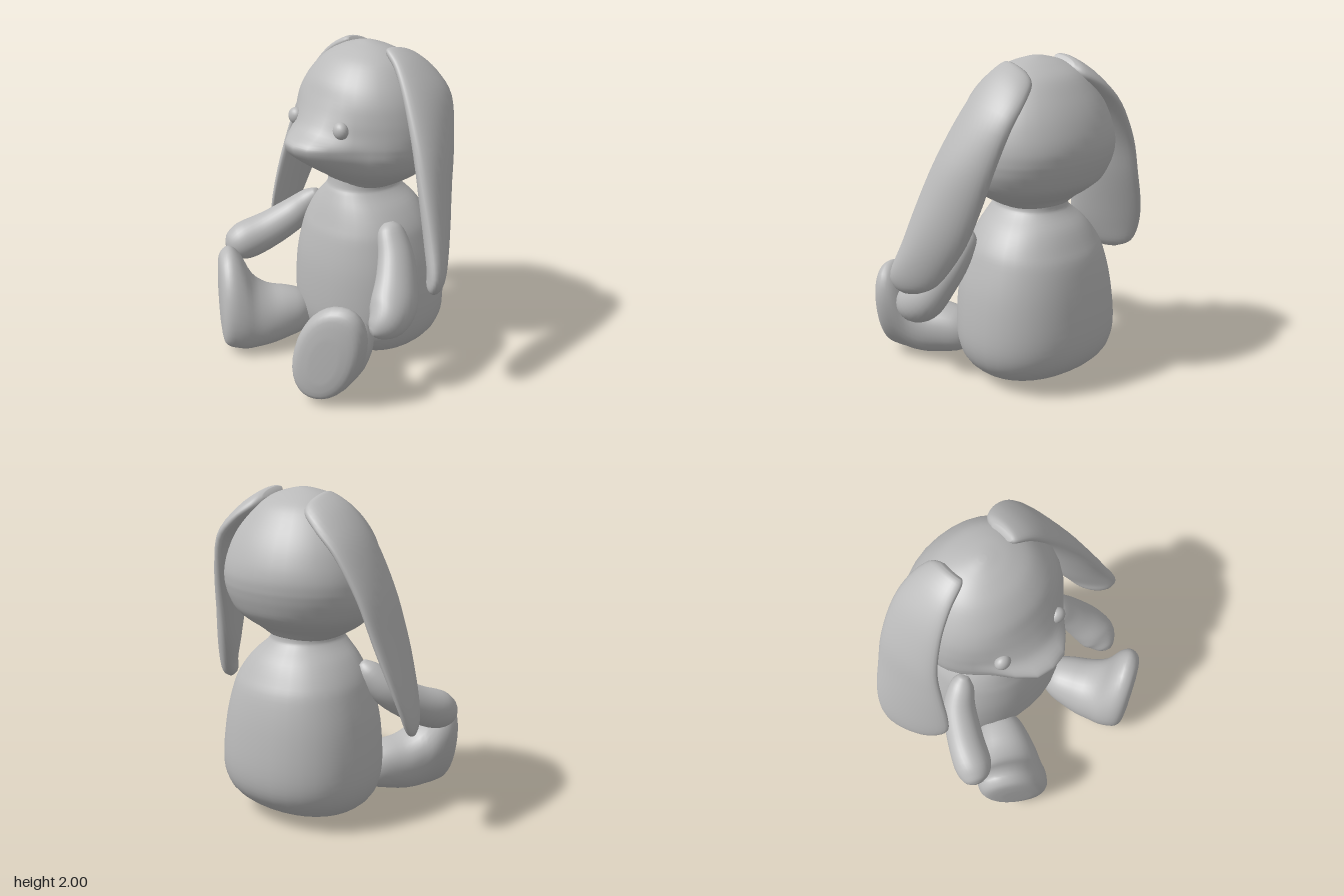
import * as THREE from 'three';

const V = (x, y, z) => new THREE.Vector3(x, y, z);
const SIDES = 32;

// Catmull-Rom interpolation through rows of numbers
function smooth(rows, steps = 4) {
  const out = [];
  const last = rows.length - 1;
  for (let i = 0; i < last; i++) {
    const [a, b, c, d] = [rows[Math.max(i - 1, 0)], rows[i], rows[i + 1], rows[Math.min(i + 2, last)]];
    for (let s = 0; s < steps; s++) {
      const t = s / steps;
      out.push(b.map((p1, k) => p1 + 0.5 * t * (c[k] - a[k]
        + t * (2 * a[k] - 5 * p1 + 4 * c[k] - d[k] + t * (3 * (p1 - c[k]) + d[k] - a[k])))));
    }
  }
  out.push(rows[last]);
  return out;
}

// Closed smooth skin over a list of rings, with a pole at each end
function loft(rings) {
  const pts = rings.flat(), index = [];
  const n = rings[0].length, m = rings.length;
  for (let i = 0; i < m - 1; i++) {
    for (let j = 0; j < n; j++) {
      const a = i * n + j, b = i * n + (j + 1) % n;
      index.push(a, b, a + n, b, b + n, a + n);
    }
  }
  const pole = (ring) => ring.reduce((s, p) => s.add(p), V(0, 0, 0)).divideScalar(n);
  const p0 = pts.push(pole(rings[0])) - 1, p1 = pts.push(pole(rings[m - 1])) - 1;
  for (let j = 0; j < n; j++) {
    const k = (j + 1) % n, e = (m - 1) * n;
    index.push(p0, k, j, p1, e + j, e + k);
  }
  // Turn the faces outward if the enclosed volume is negative
  let volume = 0;
  for (let i = 0; i < index.length; i += 3) {
    const [a, b, c] = [pts[index[i]], pts[index[i + 1]], pts[index[i + 2]]];
    volume += a.dot(b.clone().cross(c));
  }
  if (volume < 0) index.reverse();
  const geo = new THREE.BufferGeometry().setFromPoints(pts);
  geo.setIndex(index);
  geo.computeVertexNormals();
  return geo;
}

// Oval ring: centre, two half axes, and an exponent below 1 for a boxier outline
function oval(c, u, v, power = 1) {
  const f = (x) => Math.sign(x) * Math.abs(x) ** power;
  return Array.from({ length: SIDES }, (_, j) => {
    const a = (j / SIDES) * Math.PI * 2;
    return c.clone().addScaledVector(u, f(Math.cos(a))).addScaledVector(v, f(Math.sin(a)));
  });
}

// Limb along a path; rows are x, y, z, half width, half thickness, width direction x, y, z
function limb(rows) {
  const path = smooth(rows);
  const at = (i) => V(...path[THREE.MathUtils.clamp(i, 0, path.length - 1)].slice(0, 3));
  return loft(path.map((r, i) => {
    const tangent = at(i + 1).sub(at(i - 1)).normalize();
    const w = V(r[5], r[6], r[7]).normalize();
    const t = tangent.clone().cross(w).normalize();
    return oval(at(i), w.multiplyScalar(r[3]), t.multiplyScalar(r[4]));
  }));
}

// Round-section limb; rows are x, y, z, half width, half thickness
function arm(rows) {
  const path = new THREE.CatmullRomCurve3(rows.map((r) => V(...r)));
  return limb(rows.map((r, i) => {
    const t = path.getTangent(i / (rows.length - 1));
    const w = V(1, 0, 0).addScaledVector(t, -t.x).normalize();
    return [...r, ...w.toArray()];
  }));
}

// Leg with a sole that leans outward; rows are distance behind sole, low y, high y, half width, lean
function leg(side) {
  const back = V(0.87, 0, -0.49 * side), across = V(0.49, 0, 0.87 * side);
  const rows = [
    [-0.012, 0.18, 0.46, 0.08, 0.25], [0, 0.08, 0.59, 0.16, 0.25], [0.03, 0.045, 0.64, 0.2, 0.25],
    [0.08, 0.03, 0.655, 0.215, 0.25], [0.14, 0.02, 0.6, 0.21, 0.25], [0.21, 0.02, 0.47, 0.195, 0.2],
    [0.31, 0.03, 0.4, 0.185, 0.15], [0.42, 0.055, 0.38, 0.165, 0.1], [0.51, 0.08, 0.355, 0.14, 0.05],
    [0.57, 0.12, 0.31, 0.1, 0], [0.59, 0.19, 0.25, 0.03, 0],
  ];
  return loft(smooth(rows, 3).map(([s, lo, hi, hw, lean]) => {
    const mid = (lo + hi) / 2, half = (hi - lo) / 2;
    const centre = V(-0.6, mid, -0.013 + 0.52 * side)
      .addScaledVector(back, s).addScaledVector(across, lean * (mid - 0.33));
    const up = V(0, half, 0).addScaledVector(across, lean * half);
    return oval(centre, across.clone().multiplyScalar(hw), up, 0.94);
  }));
}

export function createModel() {
  const plush = new THREE.MeshStandardMaterial({ color: 0xbababa });
  plush.name = 'plushGrey';
  const model = new THREE.Group();
  model.name = 'sittingRabbit';
  const add = (name, geo) => {
    const mesh = new THREE.Mesh(geo, plush);
    mesh.name = name;
    model.add(mesh);
    return mesh;
  };

  // Pear-shaped body: y, front x, back x, half width
  const body = [
    [0.005, 0.15, 0.25, 0.06], [0.014, 0.06, 0.345, 0.18], [0.045, -0.05, 0.445, 0.31],
    [0.1, -0.13, 0.55, 0.405], [0.2, -0.185, 0.64, 0.475], [0.35, -0.205, 0.67, 0.5],
    [0.6, -0.2, 0.65, 0.478], [0.8, -0.17, 0.61, 0.428], [0.9, -0.14, 0.565, 0.388],
    [1.0, -0.105, 0.505, 0.315], [1.08, -0.07, 0.43, 0.23], [1.12, -0.05, 0.41, 0.205], [1.2, -0.04, 0.41, 0.205],
  ];
  add('body', loft(smooth(body).map(([y, f, b, hw]) =>
    oval(V((f + b) / 2, y, -0.035), V((b - f) / 2, 0, 0), V(0, 0, hw), 0.91))));

  // Round head with a blunt snout: y, front x, back x, half width, snout reach
  const head = [
    [1.1, 0.08, 0.34, 0.14, 0], [1.125, -0.01, 0.4, 0.215, 0], [1.17, -0.05, 0.445, 0.3, 0],
    [1.22, -0.11, 0.515, 0.375, 0.02], [1.28, -0.165, 0.58, 0.437, 0.06], [1.36, -0.195, 0.618, 0.478, 0.14],
    [1.42, -0.2, 0.637, 0.49, 0.175], [1.46, -0.2, 0.645, 0.492, 0.16], [1.52, -0.195, 0.648, 0.487, 0.08],
    [1.6, -0.19, 0.632, 0.47, 0.03], [1.7, -0.17, 0.592, 0.435, 0], [1.8, -0.12, 0.532, 0.375, 0],
    [1.9, -0.03, 0.45, 0.285, 0], [1.96, 0.07, 0.35, 0.18, 0], [1.99, 0.15, 0.27, 0.08, 0], [2.0, 0.19, 0.23, 0.02, 0],
  ];
  add('head', loft(smooth(head).map(([y, f, b, hw, snout]) => {
    const ring = oval(V((f + b) / 2, y, -0.04), V((f - b) / 2, 0, 0), V(0, 0, hw), 0.95);
    ring.forEach((p, j) => {
      const angle = (Math.min(j, SIDES - j) / SIDES) * Math.PI * 2;
      p.x -= snout * Math.exp(-((angle / 0.47) ** 3));
    });
    return ring;
  })));

  // Bead eyes
  for (const [name, side] of [['leftEye', 1], ['rightEye', -1]]) {
    const eye = add(name, new THREE.SphereGeometry(0.05, 20, 14));
    eye.scale.set(0.85, 1.05, 1.05);
    eye.position.set(-0.18, 1.55, -0.045 + 0.21 * side);
  }

  // Long hanging ears, each with its own drape
  add('leftEar', limb([
    [0.27, 1.96, 0.15, 0.08, 0.025, 1, -0.25, 0], [0.295, 1.93, 0.18, 0.135, 0.05, 1, -0.3, 0],
    [0.31, 1.85, 0.285, 0.175, 0.06, 1, -0.25, 0], [0.295, 1.7, 0.405, 0.198, 0.07, 1, -0.1, -0.05],
    [0.24, 1.45, 0.515, 0.2, 0.08, 0.95, -0.05, -0.25], [0.185, 1.2, 0.595, 0.2, 0.08, 0.88, 0, -0.45],
    [0.135, 0.98, 0.665, 0.192, 0.075, 0.8, 0, -0.58], [0.075, 0.8, 0.735, 0.17, 0.06, 0.76, 0, -0.65],
    [0.045, 0.71, 0.75, 0.12, 0.05, 0.76, 0, -0.65], [0.03, 0.67, 0.76, 0.05, 0.02, 0.76, 0, -0.65],
  ]));
  add('rightEar', limb([
    [0.28, 1.96, -0.2, 0.08, 0.025, 1, -0.25, 0], [0.305, 1.93, -0.23, 0.135, 0.05, 1, -0.3, 0],
    [0.31, 1.85, -0.345, 0.175, 0.055, 1, -0.25, 0], [0.29, 1.7, -0.475, 0.195, 0.055, 1, -0.1, -0.05],
    [0.25, 1.45, -0.595, 0.21, 0.055, 1, 0, -0.15], [0.2, 1.2, -0.66, 0.23, 0.055, 0.95, 0, -0.25],
    [0.155, 0.98, -0.71, 0.245, 0.05, 0.9, 0, -0.35], [0.12, 0.8, -0.745, 0.23, 0.045, 0.88, 0, -0.42],
    [0.12, 0.68, -0.775, 0.16, 0.035, 0.86, 0, -0.42], [0.12, 0.63, -0.785, 0.06, 0.015, 0.86, 0, -0.42],
  ]));

  // Arms reaching forward, the right one lifted higher
  add('leftArm', arm([
    [0.05, 0.97, 0.34, 0.03, 0.03], [0.045, 0.925, 0.365, 0.085, 0.07],
    [0.02, 0.8, 0.44, 0.115, 0.095], [-0.035, 0.67, 0.51, 0.135, 0.11],
    [-0.105, 0.555, 0.565, 0.15, 0.125], [-0.19, 0.485, 0.59, 0.125, 0.12],
    [-0.27, 0.45, 0.585, 0.07, 0.065], [-0.3, 0.44, 0.58, 0.02, 0.02],
  ]));
  add('rightArm', arm([
    [0.07, 0.965, -0.36, 0.03, 0.03], [0.05, 0.91, -0.4, 0.075, 0.075],
    [-0.02, 0.8, -0.49, 0.1, 0.105], [-0.17, 0.695, -0.58, 0.11, 0.12],
    [-0.32, 0.63, -0.65, 0.115, 0.125], [-0.4, 0.605, -0.69, 0.08, 0.085],
    [-0.43, 0.6, -0.7, 0.025, 0.03],
  ]));

  // Splayed legs with upright soles
  add('leftLeg', leg(1));
  add('rightLeg', leg(-1));
  return model;
}
